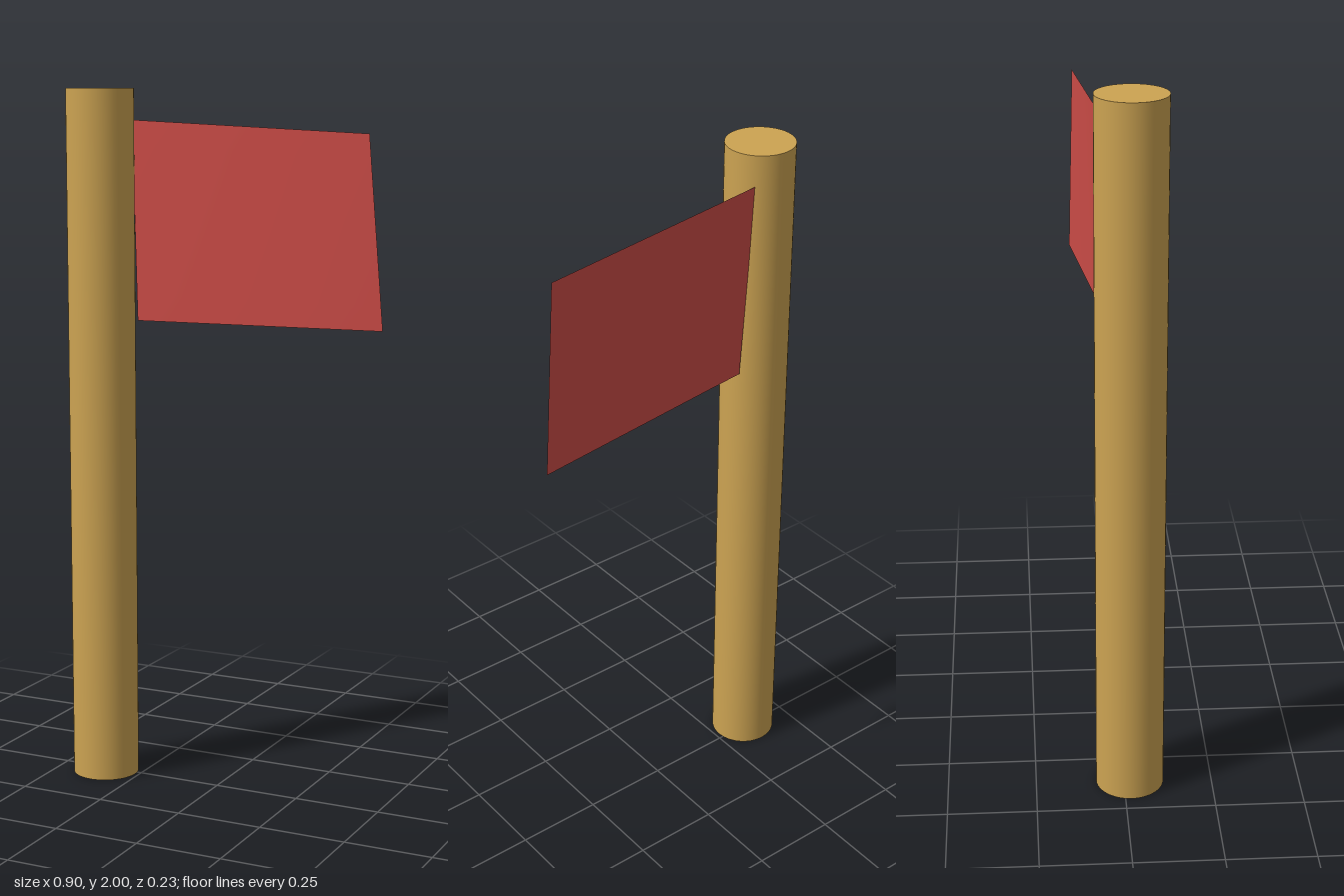
import * as THREE from 'three';

export function createModel() {
  const group = new THREE.Group();

  // Round upright pole with closed ends
  const pole = new THREE.Mesh(
    new THREE.CylinderGeometry(0.096, 0.096, 2, 48),
    new THREE.MeshStandardMaterial({ color: 0xcca352 })
  );
  pole.name = 'pole';
  pole.position.set(-0.358, 1, 0.017);
  group.add(pole);

  // Thin, slightly twisted flag: a plane blended between its four corners
  const corner = (x, y, z) => new THREE.Vector3(x, y, z);
  const topInner = corner(-0.29, 1.912, -0.047);
  const topOuter = corner(0.408, 1.877, -0.104);
  const bottomInner = corner(-0.266, 1.345, -0.029);
  const bottomOuter = corner(0.45, 1.34, -0.115);

  const cloth = new THREE.PlaneGeometry(1, 1, 8, 8);
  const { position, uv } = cloth.attributes;
  for (let i = 0; i < position.count; i++) {
    const u = uv.getX(i);
    const top = topInner.clone().lerp(topOuter, u);
    const p = bottomInner.clone().lerp(bottomOuter, u).lerp(top, uv.getY(i));
    position.setXYZ(i, p.x, p.y, p.z);
  }
  cloth.computeVertexNormals();

  const flag = new THREE.Mesh(
    cloth,
    new THREE.MeshStandardMaterial({ color: 0xcc4c47, side: THREE.DoubleSide })
  );
  flag.name = 'flag';
  group.add(flag);

  return group;
}
